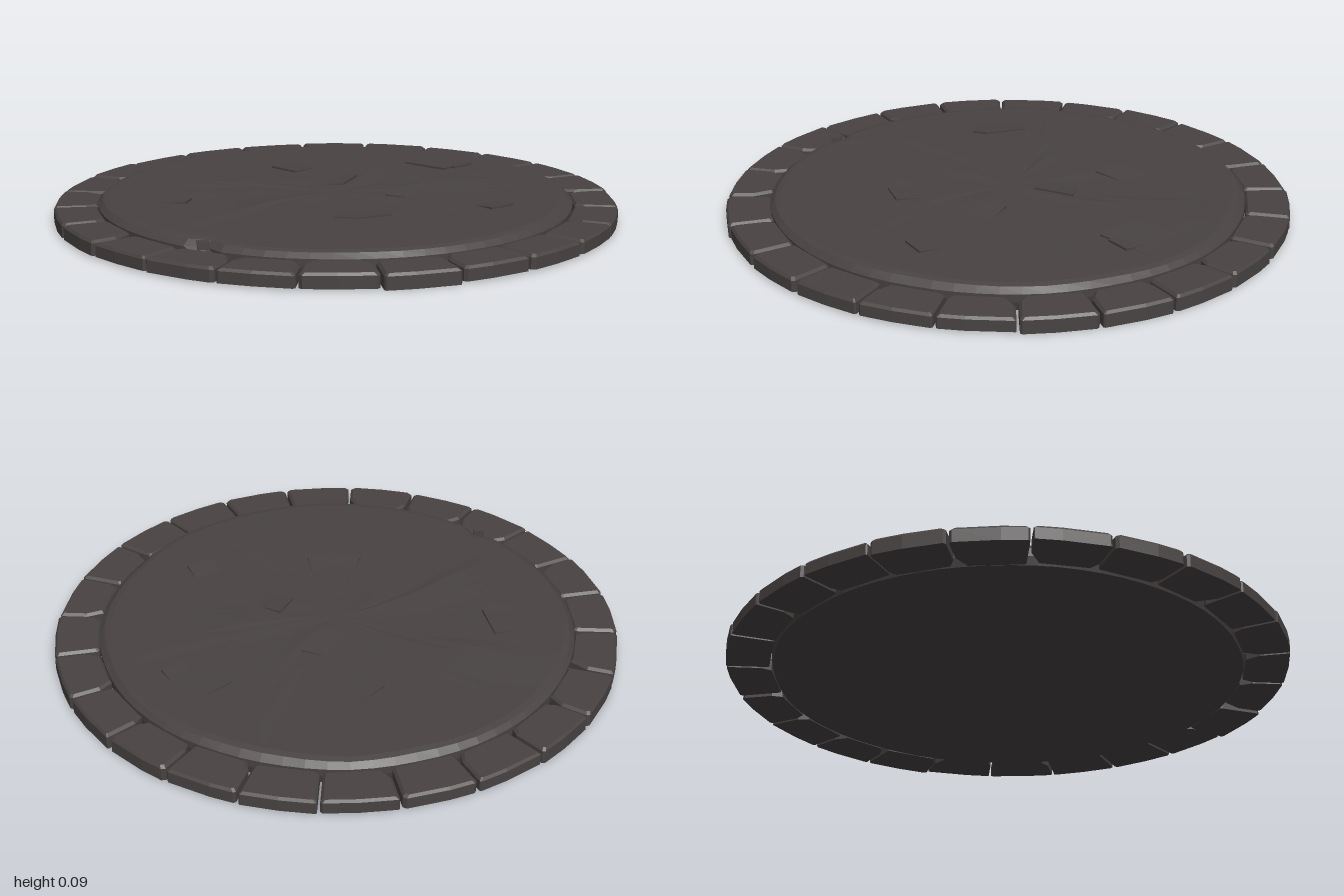
import * as THREE from 'three';
import { ConvexGeometry } from 'three/addons/geometries/ConvexGeometry.js';

const DEG = Math.PI / 180;
const TAU = Math.PI * 2;

// Small seeded generator
function seeded(seed) {
  let s = seed;
  return () => {
    s = (s * 16807) % 2147483647;
    return s / 2147483647;
  };
}

export function createModel() {
  const group = new THREE.Group();
  group.name = 'stoneDais';
  const stone = new THREE.MeshStandardMaterial({ color: 0x484342 });
  stone.name = 'darkStone';
  const rand = seeded(4711);
  const add = (geometry, name) => {
    const mesh = new THREE.Mesh(geometry, stone);
    mesh.name = name;
    group.add(mesh);
  };

  // Central slab: a lathe with a worn rim and shallow radial cracks
  const wobble = Array.from({ length: 24 }, () => rand() - 0.5);
  const rimNoise = (t) => {
    const f = (((t / TAU) % 1) + 1) % 1 * 24;
    const i = Math.floor(f);
    return THREE.MathUtils.lerp(wobble[i % 24], wobble[(i + 1) % 24], f - i);
  };
  // each crack: angle and height of its step
  const cracks = [[178, 0.005], [121, 0.006], [-90, 0.004], [35, 0.003], [-40, 0.003]];
  const profile = [
    [0, 0], [0.835, 0], [0.843, 0.03], [0.843, 0.058], [0.822, 0.076], [0.8, 0.081],
    [0.68, 0.081], [0.5, 0.081], [0.32, 0.081], [0.15, 0.08], [0, 0.08],
  ].map(([r, y]) => new THREE.Vector2(r, y));
  let slab = new THREE.LatheGeometry(profile, 72);
  const p = slab.attributes.position;
  for (let i = 0; i < p.count; i++) {
    const x = p.getX(i), y = p.getY(i), z = p.getZ(i);
    const r = Math.hypot(x, z);
    const t = Math.atan2(z, x);
    let k = 1, h = y;
    if (r > 0.79) {
      k += rimNoise(t) * (y > 0.07 ? 0.026 : 0.012);
      // chipped bite at the front of the rim
      if (y > 0.05 && Math.abs(t - 104 * DEG) < 3 * DEG) k -= 0.035;
    }
    if (y > 0.07 && r > 0.01) {
      h += 0.0015 * Math.sin(3 * t + 9 * r) + 0.001 * Math.sin(7 * t);
      const fade = Math.sin(Math.PI * Math.min(1, r / 0.8));
      for (const [angle, step] of cracks) {
        const d = (t - angle * DEG - 0.12 * Math.sin(8 * r) + 2 * TAU) % TAU;
        h += step * fade * Math.max(0, 1 - d / 0.5);
      }
    }
    p.setXYZ(i, x * k, h, z * k);
  }
  slab = slab.toNonIndexed();
  slab.computeVertexNormals();
  add(slab, 'centralSlab');

  // Lifted flakes: raised along a-b, sinking into the slab towards the far side
  const flakes = [
    [0.13, -0.52, 0.3, -0.45, 0.08, -0.2],
    [0.33, -0.49, 0.38, -0.57, -0.1, -0.06],
    [0.19, -0.07, 0.19, 0.03, 0.14, 0.01],
    [0.0, -0.1, 0.01, -0.25, -0.1, 0.02],
    [-0.34, -0.31, -0.23, -0.25, 0.04, -0.12],
    [-0.55, 0.15, -0.45, 0.27, -0.1, 0.1],
    [-0.45, 0.27, -0.45, 0.33, -0.12, 0.02],
    [0.1, 0.4, 0.2, 0.38, -0.02, -0.12],
    [0.2, 0.38, 0.28, 0.31, -0.08, -0.1],
    [0.59, 0.13, 0.65, 0.05, -0.08, -0.06],
  ];
  for (const [ax, az, bx, bz, dx, dz] of flakes) {
    const v = (x, y, z) => new THREE.Vector3(x, y, z);
    add(new ConvexGeometry([
      v(ax, 0.089, az), v(bx, 0.089, bz), v(ax, 0.074, az), v(bx, 0.074, bz),
      v(ax + dx, 0.079, az + dz), v(bx + dx, 0.079, bz + dz),
    ]), 'liftedFlake');
  }

  // Small loose chip lying at the bite in the rim
  const chip = new THREE.BoxGeometry(0.04, 0.025, 0.035);
  chip.rotateY(0.4).translate(-0.215, 0.07, 0.8);
  add(chip, 'rimChip');

  // Ring of 24 border blocks with bevelled tops and broken inner corners
  const COUNT = 24;
  for (let i = 0; i < COUNT; i++) {
    const mid = (i * 15 - 1.2) * DEG;
    const half = 7.5 * DEG;
    const inner = 0.843 + rand() * 0.008;
    const outer = 0.998 + rand() * 0.006;
    const top = 0.053 + rand() * 0.004;
    const base = rand() < 0.25 ? 0 : 0.006;
    // plan outline as [radial, sideways] in the block's own frame
    const side = (r, s) => [r * Math.cos(half), s * (r * Math.sin(half) - 0.005)];
    const outline = [];
    for (const s of [-1, 1]) {
      const cut = rand() < 0.55 ? 0.012 + rand() * 0.02 : 0.004;
      const corner = side(inner, s);
      outline.push([corner[0], corner[1] - s * cut], side(inner + cut * 2, s));
      const far = side(outer, s);
      const nick = 0.004 + rand() * 0.008;
      outline.push(side(outer - nick, s), [far[0], far[1] - s * nick]);
    }
    outline.push([outer * 0.997, (rand() - 0.5) * 0.08]);
    const centre = (inner + outer) / 2;
    const points = [];
    for (const [y, inset] of [[base, 0], [top - 0.009, 0], [top, 0.1]]) {
      for (const [u, w] of outline) {
        const a = centre + (u - centre) * (1 - inset);
        const b = w * (1 - inset * 0.8);
        points.push(new THREE.Vector3(
          a * Math.cos(mid) - b * Math.sin(mid), y,
          a * Math.sin(mid) + b * Math.cos(mid),
        ));
      }
    }
    add(new ConvexGeometry(points), 'borderBlock');
  }
  return group;
}
